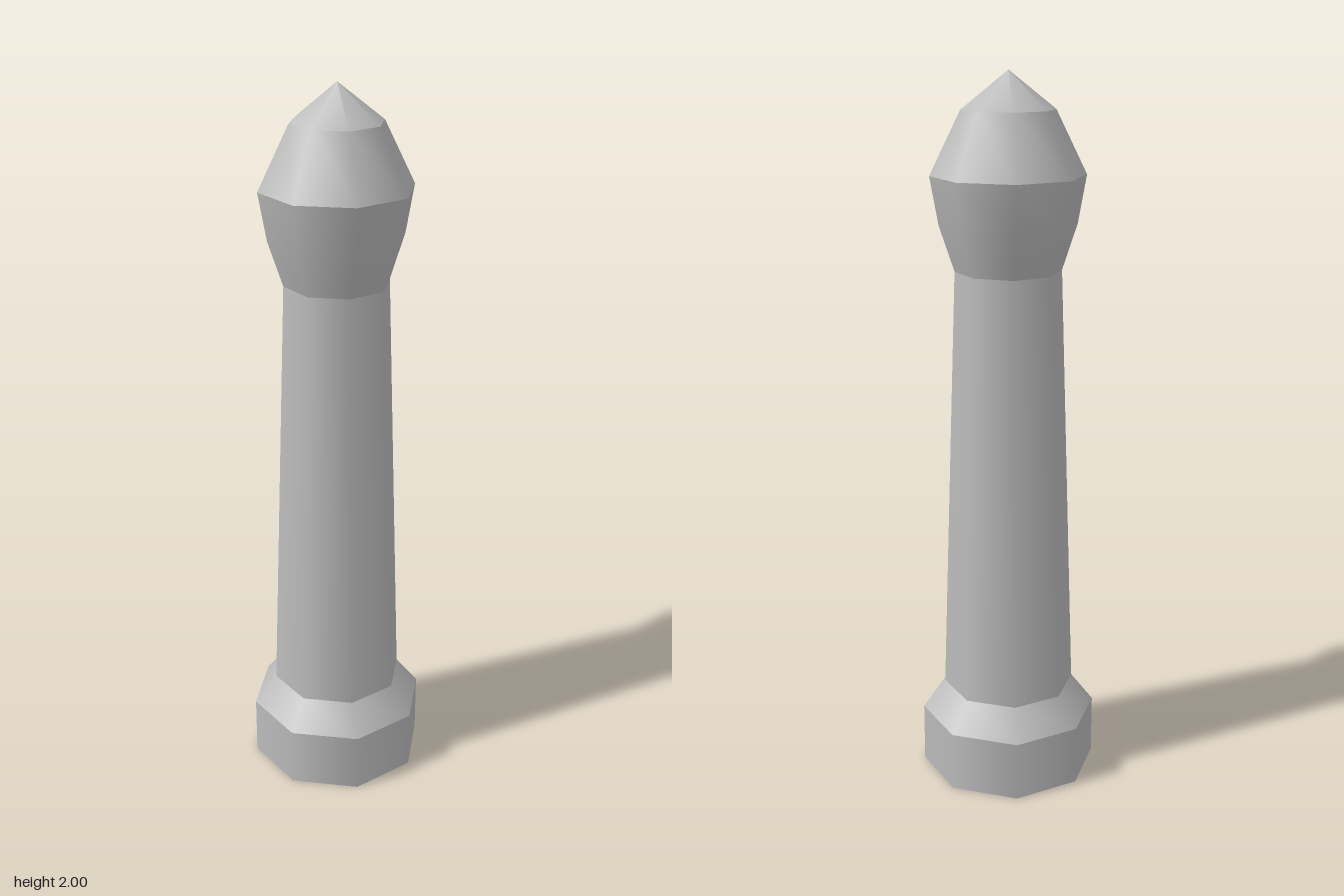
import * as THREE from 'three';

const SIDES = 8;

export function createModel() {
  const model = new THREE.Group();
  model.name = 'bollard';
  // The shell is hollow and open underneath, so both sides show
  const grey = new THREE.MeshStandardMaterial({ color: 0xbcbcbc, side: THREE.DoubleSide });
  grey.name = 'grey metal';

  // One octagonal band per part: crisp between bands, smooth around each
  function band(name, profile) {
    const points = profile.map(([r, y]) => new THREE.Vector2(r, y));
    const mesh = new THREE.Mesh(new THREE.LatheGeometry(points, SIDES), grey);
    mesh.name = name;
    model.add(mesh);
  }

  band('base', [[0.252, 0], [0.252, 0.172]]);
  band('baseShoulder', [[0.252, 0.172], [0.188, 0.255]]);
  band('shaft', [[0.188, 0.255], [0.146, 1.475]]);
  band('headUnderside', [[0.146, 1.475], [0.187, 1.6], [0.21, 1.73]]);
  band('headDome', [[0.21, 1.73], [0.126, 1.9]]);
  band('tip', [[0.126, 1.9], [0, 2]]);

  return model;
}
